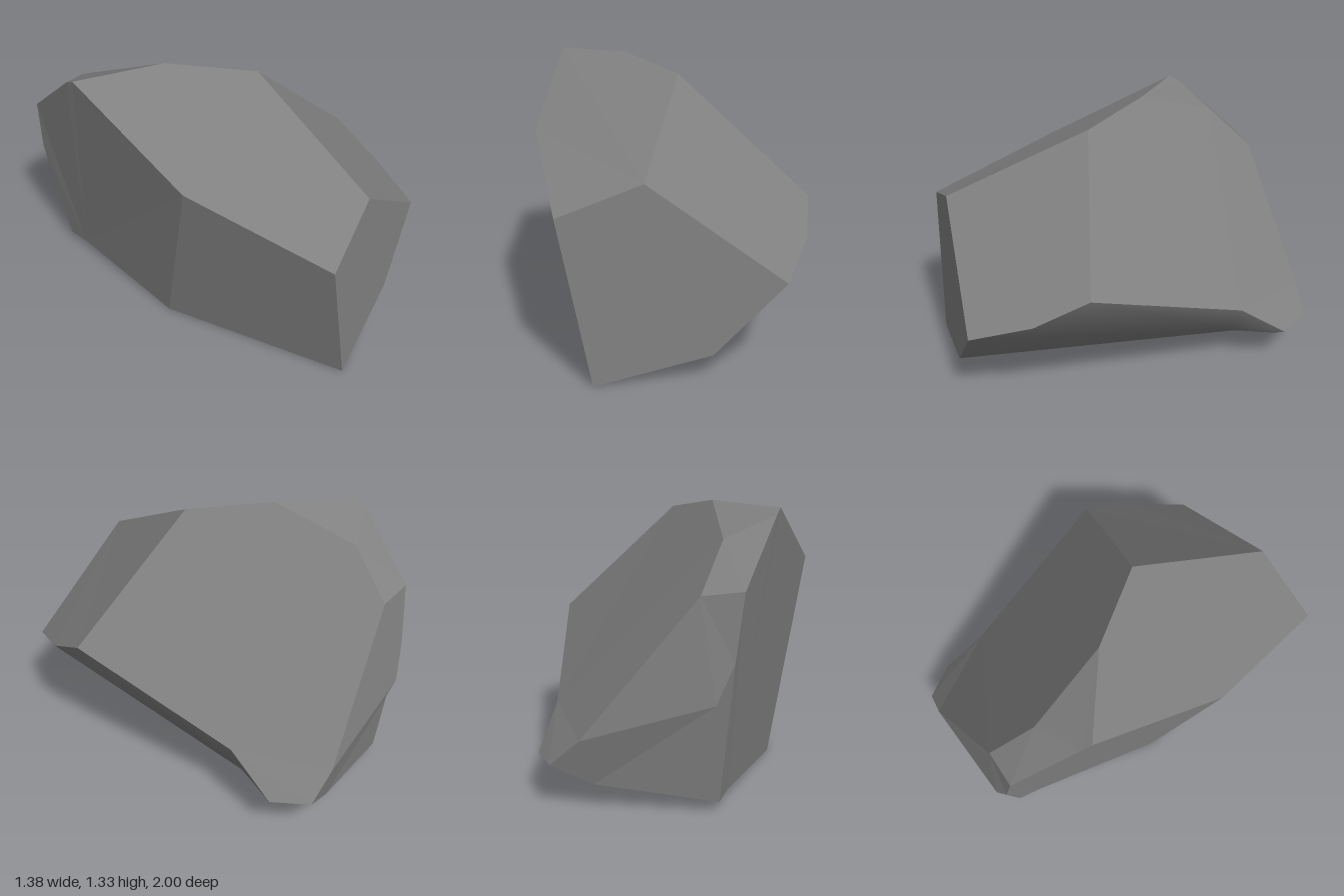
import * as THREE from 'three';

// Corners of the boulder
const P = {
  // front and crown
  brow: [0, 0.92, 0.89], chin: [-0.37, 0.78, 1], toe: [-0.22, 0, 1],
  cheek: [0.62, 0.45, 0.76], jaw: [0.3, 0.125, 0.86],
  peak: [0.03, 1.27, 0.16], elbow: [0.69, 0.68, 0.18], hip: [0.69, 0.55, 0.45],
  ridge: [-0.3, 1.33, -0.14], summit: [-0.695, 1.32, -0.33], shoulder: [-0.65, 1.01, 0.35],
  // chipped back of the crown
  chipA: [-0.495, 1.19, -0.53], chipB: [-0.48, 0.975, -0.765],
  chipC: [-0.695, 1.295, -0.38], chipD: [-0.665, 1.0, -0.725],
  // back and tail
  backA: [-0.64, 0.7, -0.77], backB: [-0.575, 0.52, -0.82], tailTop: [0, 0.335, -0.98],
  tailTip: [0.14, 0.21, -1], tailSide: [0.28, 0.2, -0.86], waist: [0.32, 0.37, -0.61],
  tailLow: [-0.04, 0.12, -0.92], notch: [0.255, 0.18, -0.81],
  // base
  heel: [-0.565, 0.05, -0.735], arch: [-0.56, 0.06, -0.61], foot: [-0.545, 0.004, 0.08],
  belly: [0.24, 0.195, -0.6],
};

const centre = new THREE.Vector3(0, 0.6, 0);

// Fan of triangles around the first corner, each turned to face outward
function fan(names, closed) {
  const v = names.map((n) => new THREE.Vector3(...P[n]));
  const index = [];
  const last = closed ? v.length : v.length - 1;
  for (let i = 1; i < last; i++) {
    const j = i + 1 < v.length ? i + 1 : 1;
    const normal = v[i].clone().sub(v[0]).cross(v[j].clone().sub(v[0]));
    const outward = normal.dot(v[0].clone().sub(centre)) > 0;
    index.push(0, outward ? i : j, outward ? j : i);
  }
  const g = new THREE.BufferGeometry().setFromPoints(v);
  g.setIndex(index);
  return g;
}

export function createModel() {
  const group = new THREE.Group();
  group.name = 'boulder';
  const stone = new THREE.MeshStandardMaterial({ color: 0x808080 });
  stone.name = 'grey stone';

  // Flat cleaved facets
  const facets = {
    frontFacet: 'brow chin toe jaw cheek',
    frontCrownFacet: 'brow peak ridge summit shoulder chin',
    sideFacet: 'brow cheek hip elbow peak',
    frontCornerFacet: 'chin shoulder foot toe',
    topFacet: 'waist elbow peak ridge chipA chipB tailTop tailTip tailSide',
    upperChip: 'ridge summit chipC chipA',
    lowerChip: 'chipA chipC chipD chipB',
    flankFacet: 'arch foot shoulder summit chipC chipD backA heel',
    upperBackFacet: 'chipB chipD backA backB tailTop',
    lowerBackFacet: 'tailLow tailTip tailTop backB backA heel',
    notchSide: 'tailSide tailTip notch',
    notchFloor: 'tailTip tailLow notch',
  };
  for (const [name, corners] of Object.entries(facets)) {
    const g = fan(corners.split(' ')).toNonIndexed();
    g.computeVertexNormals();
    const mesh = new THREE.Mesh(g, stone);
    mesh.name = name;
    group.add(mesh);
  }

  // Smoothly worn underside, fanned around the belly
  const under = fan(('belly jaw cheek hip elbow waist tailSide notch ' +
    'tailLow heel arch foot toe').split(' '), true);
  under.computeVertexNormals();
  const underside = new THREE.Mesh(under, stone);
  underside.name = 'underside';
  group.add(underside);

  return group;
}
